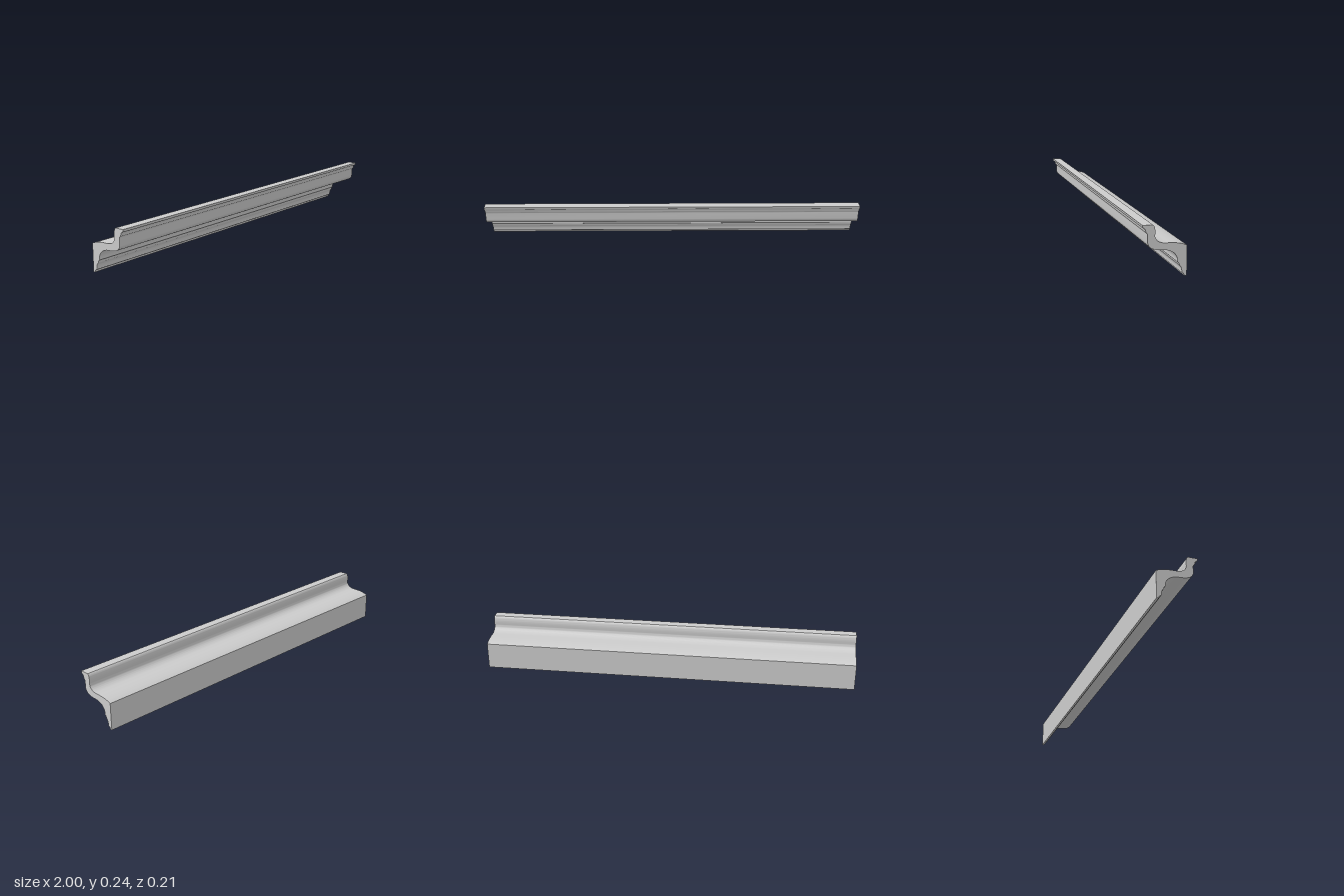
import * as THREE from 'three';
import { toCreasedNormals } from 'three/addons/utils/BufferGeometryUtils.js';

// Cross-section of the moulding, drawn as (depth, height)
function mouldingProfile() {
  const s = new THREE.Shape();
  // flat back
  s.moveTo(-0.0935, 0);
  s.lineTo(-0.104, 0);
  s.lineTo(-0.104, 0.141);
  // upper surface: shallow slope, hollow, then rounded lip
  s.bezierCurveTo(-0.075, 0.155, -0.04, 0.157, 0, 0.157);
  s.bezierCurveTo(0.03, 0.159, 0.046, 0.175, 0.046, 0.194);
  s.bezierCurveTo(0.043, 0.216, 0.046, 0.236, 0.056, 0.242);
  s.lineTo(0.104, 0.242);
  // small beads under the front lip
  s.quadraticCurveTo(0.104, 0.233, 0.1, 0.228);
  s.quadraticCurveTo(0.09, 0.227, 0.088, 0.207);
  s.quadraticCurveTo(0.081, 0.204, 0.08, 0.197);
  // large S-curve on the face
  s.lineTo(0.08, 0.167);
  s.bezierCurveTo(0.08, 0.135, 0.052, 0.126, 0.005, 0.125);
  s.bezierCurveTo(-0.035, 0.124, -0.063, 0.1, -0.06, 0.066);
  // stepped beads at the foot
  s.quadraticCurveTo(-0.068, 0.062, -0.069, 0.05);
  s.quadraticCurveTo(-0.081, 0.043, -0.081, 0.015);
  s.quadraticCurveTo(-0.091, 0.014, -0.0935, 0);
  return s;
}

export function createModel() {
  const group = new THREE.Group();
  group.name = 'corniceMoulding';

  // Run the profile along x
  let geometry = new THREE.ExtrudeGeometry(mouldingProfile(), {
    depth: 2, bevelEnabled: false, curveSegments: 14,
  });
  geometry.rotateY(-Math.PI / 2);
  geometry.translate(1, 0, 0);
  geometry = toCreasedNormals(geometry, 0.5);

  const moulding = new THREE.Mesh(geometry, new THREE.MeshStandardMaterial({ color: 0xcccccc }));
  moulding.name = 'moulding';
  group.add(moulding);
  return group;
}
